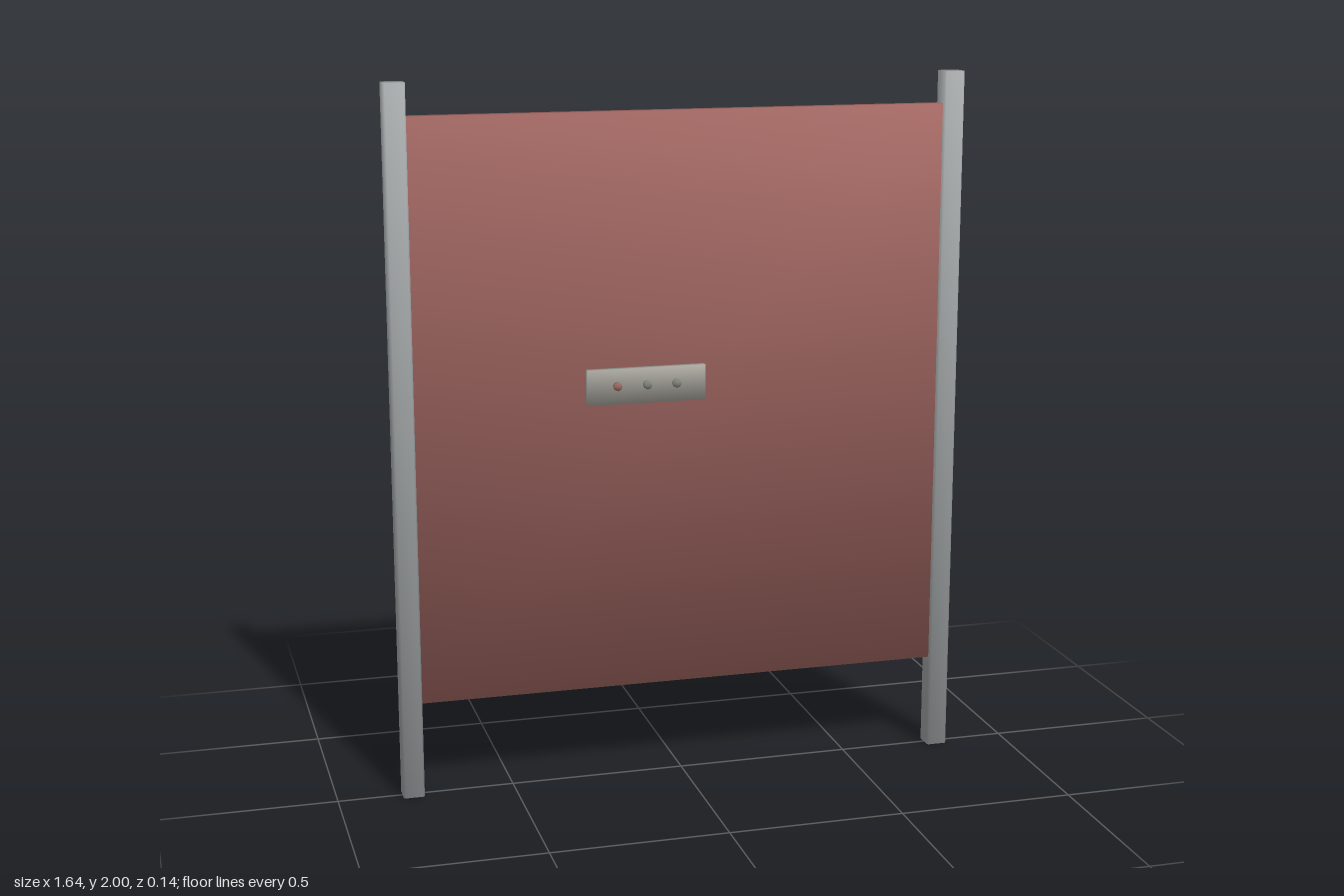
import * as THREE from 'three';

const mat = (color) => new THREE.MeshStandardMaterial({ color });
const steel = mat(0xa6aaab);
const panelRed = mat(0xa66a65);
const screenGrey = mat(0x6e7377);
const plateGrey = mat(0xacaaa2);
const buttonRed = mat(0x9a6a65);
const buttonGrey = mat(0x80847c);

// Soft shading: corners share the sum of the distinct normals meeting there
function soften(geometry) {
  const { position, normal } = geometry.attributes;
  const corners = new Map();
  const keys = [];
  for (let i = 0; i < position.count; i++) {
    const p = new THREE.Vector3().fromBufferAttribute(position, i);
    const n = new THREE.Vector3().fromBufferAttribute(normal, i);
    const key = p.toArray().map((v) => Math.round(v * 1e4)).join();
    keys.push(key);
    if (!corners.has(key)) corners.set(key, []);
    const list = corners.get(key);
    if (!list.some((m) => m.dot(n) > 0.99)) list.push(n);
  }
  keys.forEach((key, i) => {
    const sum = new THREE.Vector3();
    corners.get(key).forEach((n) => sum.add(n));
    sum.normalize();
    normal.setXYZ(i, sum.x, sum.y, sum.z);
  });
  return geometry;
}

// Box given by its lower and upper corners
function box(name, min, max, material) {
  const size = max.map((v, i) => v - min[i]);
  const mesh = new THREE.Mesh(soften(new THREE.BoxGeometry(...size)), material);
  mesh.position.set(...max.map((v, i) => (v + min[i]) / 2));
  mesh.name = name;
  return mesh;
}

// Upright square post with slightly chamfered long edges
function post(name, x) {
  const h = 0.03, c = 0.005;
  const corners = [
    [h, -h + c], [h, h - c], [h - c, h], [-h + c, h],
    [-h, h - c], [-h, -h + c], [-h + c, -h], [h - c, -h],
  ].map(([a, b]) => new THREE.Vector2(a, b));
  const geometry = new THREE.ExtrudeGeometry(new THREE.Shape(corners), { depth: 2, bevelEnabled: false });
  geometry.rotateX(-Math.PI / 2);
  const mesh = new THREE.Mesh(soften(geometry), steel);
  mesh.position.x = x;
  mesh.name = name;
  return mesh;
}

export function createModel() {
  const model = new THREE.Group();
  model.name = 'panelStand';

  // Posts and the board between them
  model.add(post('leftPost', 0.788), post('rightPost', -0.788));
  model.add(box('board', [-0.762, 0.274, -0.022], [0.762, 1.91, 0.019], panelRed));

  // Control plate with three buttons on the front
  const controls = new THREE.Group();
  controls.name = 'controls';
  controls.add(box('controlPlate', [-0.281, 1.108, 0.033], [0.056, 1.207, 0.055], plateGrey));
  [-0.198, -0.113, -0.029].forEach((x, i) => {
    const geometry = new THREE.CylinderGeometry(0.012, 0.012, 0.024, 8).rotateX(Math.PI / 2);
    const button = new THREE.Mesh(soften(geometry), i === 0 ? buttonRed : buttonGrey);
    button.position.set(x, 1.16, 0.056);
    button.name = 'button';
    controls.add(button);
  });
  model.add(controls);

  // Flat screen on the back
  model.add(box('backScreen', [0.047, 1.155, -0.053], [0.605, 1.492, -0.02], screenGrey));

  // Six-sided upright handle, half sunk into the back
  const handle = new THREE.Mesh(
    soften(new THREE.CylinderGeometry(0.04, 0.04, 0.545, 6).rotateY(Math.PI / 6)), steel);
  handle.position.set(-0.46, 0.6075, -0.033);
  handle.name = 'handle';
  model.add(handle);

  return model;
}
